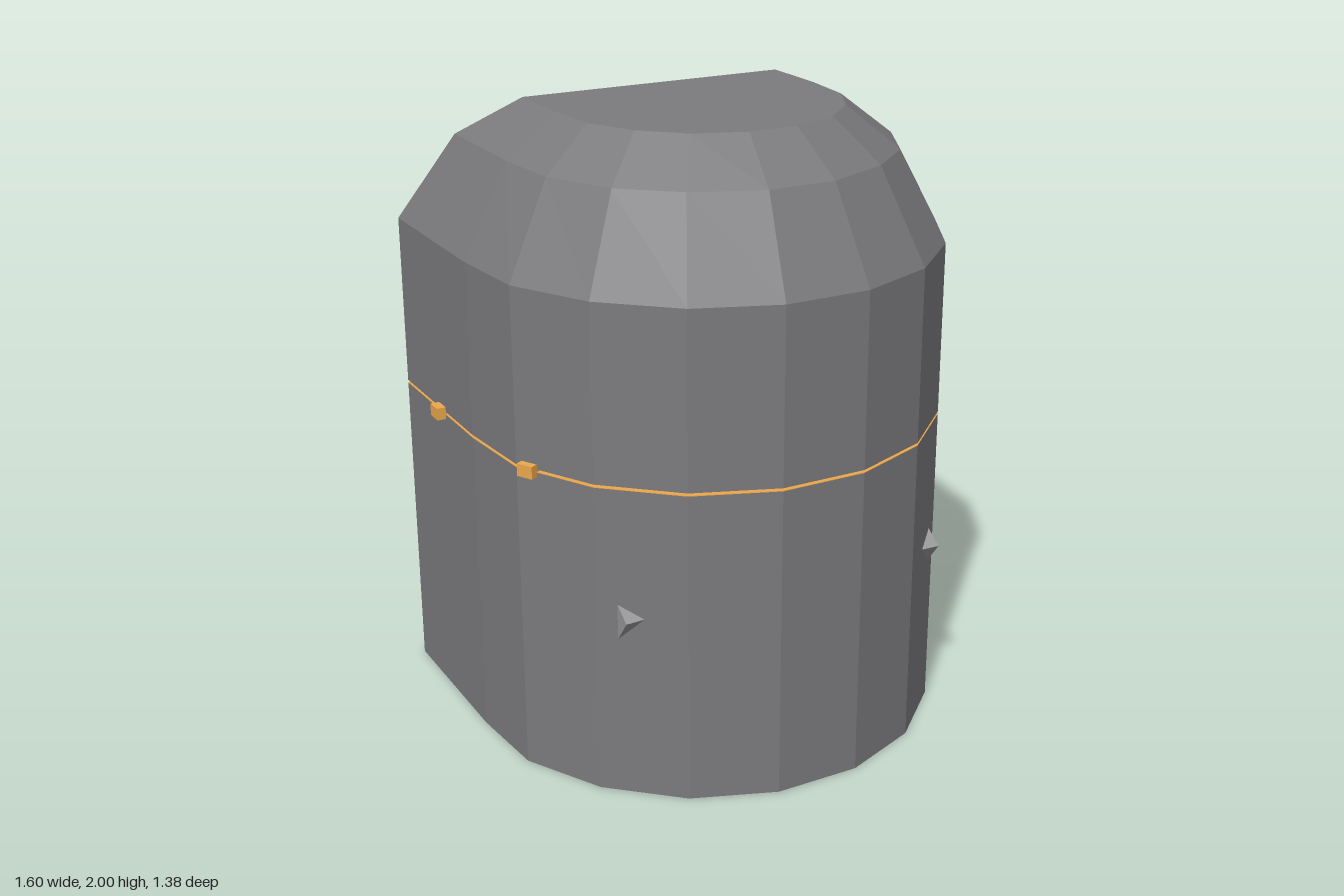
import * as THREE from 'three';
import { ConvexGeometry } from 'three/addons/geometries/ConvexGeometry.js';

const material = (color) => new THREE.MeshStandardMaterial({ color, flatShading: true });

// Half outlines [x, z] of the D-shaped section, from the back corner to the front
const WALL = [[0.77, -0.695], [0.77, -0.13], [0.745, 0.15], [0.61, 0.4], [0.4, 0.59], [0.14, 0.69]];
const SHOULDER = [[0.62, -0.545], [0.62, -0.135], [0.597, 0.1], [0.49, 0.31], [0.325, 0.45], [0.11, 0.54]];
const CROWN = [[0.455, -0.38], [0.455, -0.14], [0.437, 0.05], [0.36, 0.2], [0.24, 0.315], [0.08, 0.375]];

// Full mirrored ring at height y
function ring(half, y) {
  const mirrored = half.map(([x, z]) => [-x, z]).reverse();
  return [...half, ...mirrored].map(([x, z]) => [x, y, z]);
}

// Closed solid from a stack of rings, bottom to top
function loft(rings) {
  const pos = [];
  const tri = (...points) => points.forEach((p) => pos.push(...p));
  const n = rings[0].length;
  const bottom = rings[0], top = rings[rings.length - 1];
  for (let i = 0; i < n; i++) {
    const j = (i + 1) % n;
    for (let k = 0; k < rings.length - 1; k++) {
      const lo = rings[k], hi = rings[k + 1];
      tri(lo[i], hi[i], hi[j]);
      tri(lo[i], hi[j], lo[j]);
    }
    tri([0, bottom[0][1], 0], bottom[i], bottom[j]);
    tri([0, top[0][1], 0], top[j], top[i]);
  }
  const geometry = new THREE.BufferGeometry();
  geometry.setAttribute('position', new THREE.Float32BufferAttribute(pos, 3));
  geometry.computeVertexNormals();
  return geometry;
}

export function createModel() {
  const group = new THREE.Group();
  const shell = material(0x7b7b7e);
  const finMaterial = material(0x97979a);
  const amber = material(0xeba84c);

  const add = (name, geometry, mat) => {
    const mesh = new THREE.Mesh(geometry, mat);
    mesh.name = name;
    group.add(mesh);
    return mesh;
  };

  // Lower body, amber seam and domed upper body with a thin gap between
  add('lowerBody', loft([ring(WALL, 0), ring(WALL, 1.012)]), shell);
  add('seam', loft([ring(WALL, 1.012), ring(WALL, 1.014)]), amber);
  add('upperBody', loft([ring(WALL, 1.022), ring(WALL, 1.58), ring(SHOULDER, 1.87), ring(CROWN, 2)]), shell);

  for (const [side, s] of [['left', 1], ['right', -1]]) {
    // Clips bridging the seam
    const clip = new THREE.BoxGeometry(0.06, 0.04, 0.056);
    add(side + 'RearClip', clip, amber).position.set(s * 0.77, 1.018, -0.383);
    const front = add(side + 'FrontClip', clip, amber);
    front.position.set(s * 0.717, 1.018, 0.191);
    front.rotation.y = -s * 0.495;

    // Small pointed fin on the curved wall
    const corners = [[0.5, 0.6, 0.5], [0.562, 0.6, 0.503], [0.562, 0.64, 0.445], [0.562, 0.525, 0.445]];
    const points = corners.map(([x, y, z]) => new THREE.Vector3(s * x, y, z));
    add(side + 'Fin', new ConvexGeometry(points), finMaterial);
  }
  return group;
}
